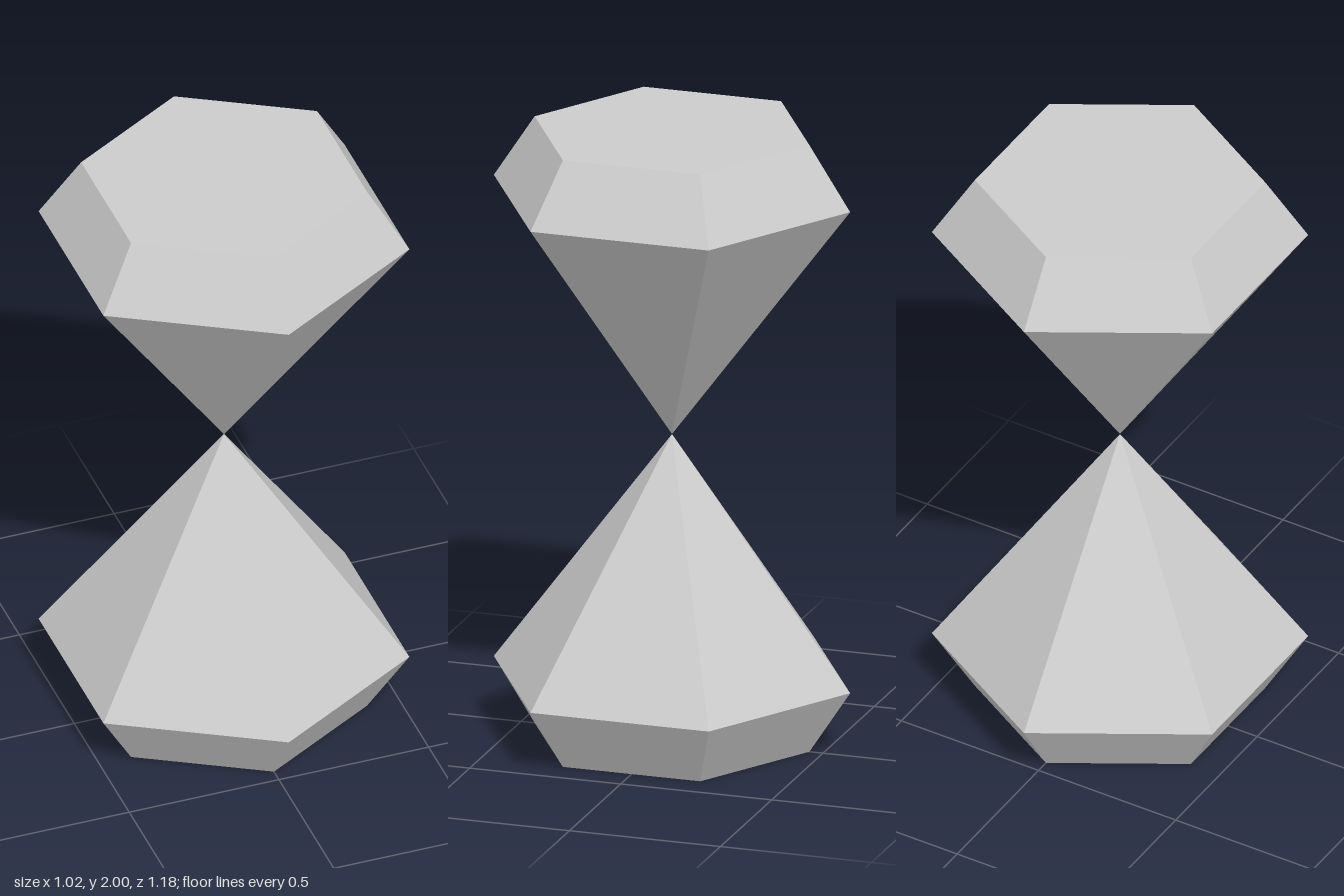
import * as THREE from 'three';

const SIDES = 6;
const TABLE_RADIUS = 0.455;
const GIRDLE_RADIUS = 0.59;
const CROWN_HEIGHT = 0.207;
const TIP_HEIGHT = 1;

const material = new THREE.MeshStandardMaterial({ color: 0xcccccc, flatShading: true });

function addPart(parent, name, geometry, y) {
  const mesh = new THREE.Mesh(geometry, material);
  mesh.name = name;
  mesh.position.y = y;
  parent.add(mesh);
}

// A six-sided cut gem with its flat table at y = 0 and its tip at y = 1
function createGem(name) {
  const gem = new THREE.Group();
  gem.name = name;

  // Flat hexagonal table, facing down
  const table = new THREE.CircleGeometry(TABLE_RADIUS, SIDES, Math.PI / 2);
  table.rotateX(Math.PI / 2);
  addPart(gem, 'table', table, 0);

  // Sloping crown between the table and the widest edge
  const crown = new THREE.CylinderGeometry(GIRDLE_RADIUS, TABLE_RADIUS, CROWN_HEIGHT, SIDES, 1, true);
  addPart(gem, 'crown', crown, CROWN_HEIGHT / 2);

  // Long facets running to the tip
  const length = TIP_HEIGHT - CROWN_HEIGHT;
  const pavilion = new THREE.ConeGeometry(GIRDLE_RADIUS, length, SIDES, 1, true);
  addPart(gem, 'pavilion', pavilion, CROWN_HEIGHT + length / 2);

  return gem;
}

export function createModel() {
  const model = new THREE.Group();
  model.name = 'doubleGem';

  const lowerGem = createGem('lowerGem');

  // Upper gem is the lower one turned upside down, meeting it tip to tip
  const upperGem = createGem('upperGem');
  upperGem.rotation.x = Math.PI;
  upperGem.position.y = 2 * TIP_HEIGHT;

  model.add(lowerGem, upperGem);
  return model;
}
